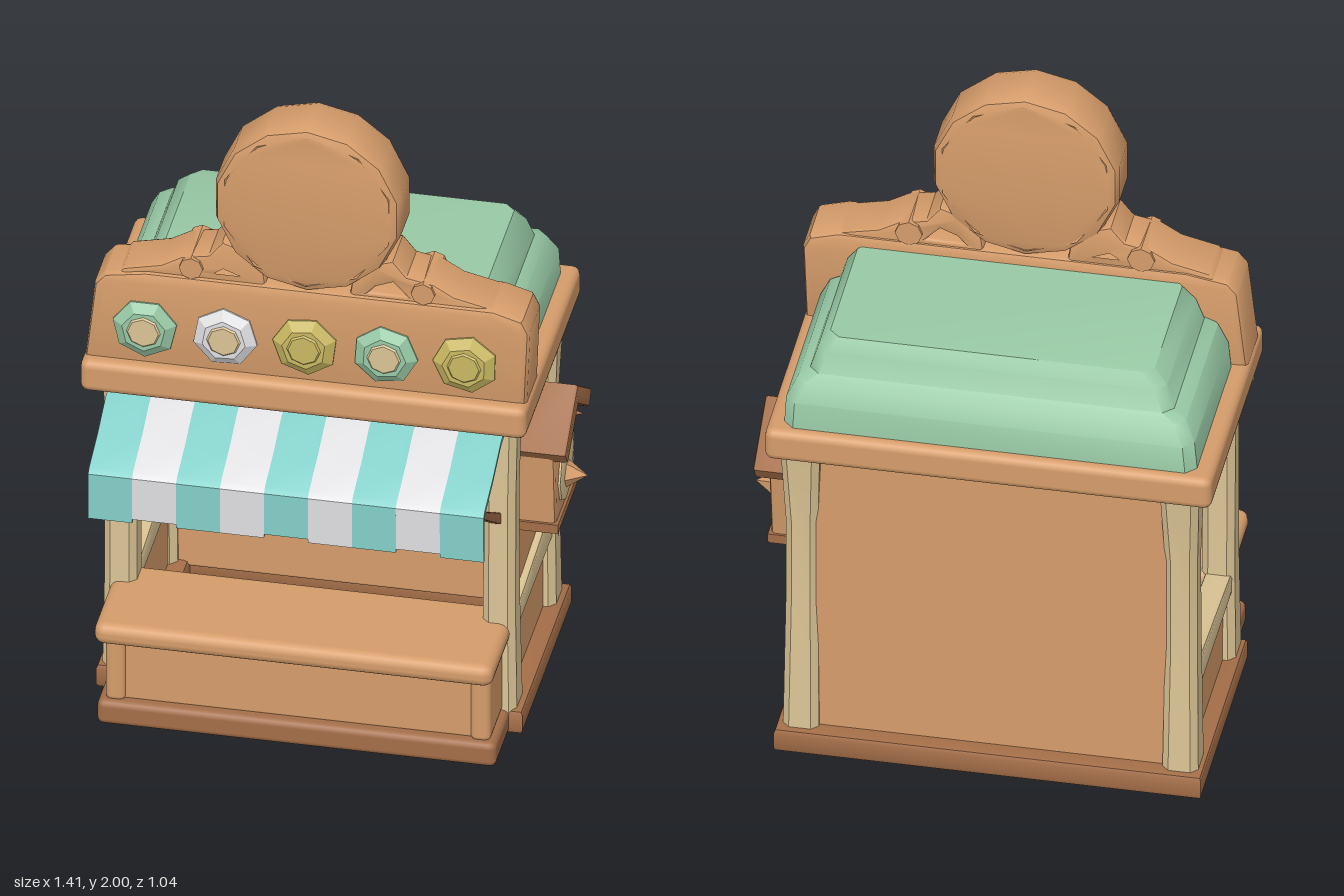
import * as THREE from 'three';
import { toCreasedNormals } from 'three/addons/utils/BufferGeometryUtils.js';
import { RoundedBoxGeometry } from 'three/addons/geometries/RoundedBoxGeometry.js';

const mat = (name, color) => Object.assign(new THREE.MeshStandardMaterial({ color }), { name });

export function createModel() {
  const model = new THREE.Group();
  model.name = 'marketStall';
  const wood = mat('wood', 0xd59c6a), darkWood = mat('darkWood', 0xa46e48), cream = mat('cream', 0xdbc495);
  const green = mat('roofGreen', 0x98c9a5), teal = mat('teal', 0x85d0ca), white = mat('white', 0xe0e0e2);
  const gold = mat('gold', 0xc9b862), brown = mat('featureBrown', 0x8a5a3a);

  const add = (name, geo, material) => {
    const m = new THREE.Mesh(geo, material);
    m.name = name;
    model.add(m);
    return m;
  };
  // Rounded board between two corners
  const board = (name, m, x0, x1, y0, y1, z0, z1, r = 0.02) => {
    const g = new RoundedBoxGeometry(x1 - x0, y1 - y0, z1 - z0, 2, r);
    g.translate((x0 + x1) / 2, (y0 + y1) / 2, (z0 + z1) / 2);
    return add(name, g, m);
  };
  const path = (pts) => pts.map(([x, y]) => new THREE.Vector2(x, y));
  // Bevelled slab of an outline, running from 0 to d in z
  const slab = (pts, d, b = 0, hole = null) => {
    const s = new THREE.Shape(path(pts));
    if (hole) s.holes.push(new THREE.Path(path(hole)));
    const g = new THREE.ExtrudeGeometry(s, {
      depth: d - 2 * b, bevelEnabled: b > 0, bevelSize: b, bevelThickness: b, bevelOffset: -b, bevelSegments: 2,
    });
    g.translate(0, 0, b);
    return toCreasedNormals(g, 0.7);
  };
  const front = (name, m, pts, z0, z1, b, hole) => add(name, slab(pts, z1 - z0, b, hole).translate(0, 0, z0), m);
  // Outline given as (z, y), extruded along x
  const side = (name, m, pts, x0, x1, b) =>
    add(name, slab(pts, x1 - x0, b).rotateY(-Math.PI / 2).translate(x1, 0, 0), m);
  const ngon = (cx, cy, r, n, a = 0) => Array.from({ length: n }, (_, i) => {
    const t = a + i / n * Math.PI * 2;
    return [cx + r * Math.cos(t), cy + r * Math.sin(t)];
  });
  // Stack of chamfered rectangles [y, x0, x1, z0, z1], closed on top
  const loft = (name, m, rings, c) => {
    const pos = [], idx = [], n = 8;
    for (const [y, x0, x1, z0, z1] of rings) {
      pos.push(x1, y, z0 + c, x1, y, z1 - c, x1 - c, y, z1, x0 + c, y, z1,
        x0, y, z1 - c, x0, y, z0 + c, x0 + c, y, z0, x1 - c, y, z0);
    }
    for (let k = 0; k < rings.length - 1; k++) for (let i = 0; i < n; i++) {
      const a = k * n + i, b = k * n + (i + 1) % n;
      idx.push(a, a + n, b + n, a, b + n, b);
    }
    const t = (rings.length - 1) * n;
    for (let i = 1; i < n - 1; i++) idx.push(t, t + i + 1, t + i);
    const g = new THREE.BufferGeometry();
    g.setAttribute('position', new THREE.Float32BufferAttribute(pos, 3));
    g.setIndex(idx);
    return add(name, toCreasedNormals(g, 0.75), m);
  };

  // Base: rear frame open underneath, narrower step under the counter
  const baseHole = [[-0.52, 0.07], [0.46, 0.07], [0.46, 0.40], [-0.52, 0.40]];
  const base = slab([[-0.67, -0.21], [0.58, -0.21], [0.58, 0.49], [-0.67, 0.49]], 0.08, 0.015, baseHole);
  add('baseFrame', base.rotateX(-Math.PI / 2), darkWood);
  board('baseStep', darkWood, -0.63, 0.54, 0, 0.08, 0.12, 0.4);

  // Corner posts, the rear ones flaring at the top
  for (const x of [-0.655, 0.455]) {
    loft('frontPost', cream, [[0.07, x, x + 0.105, 0.09, 0.21], [0.4, x + 0.005, x + 0.1, 0.1, 0.205],
      [0.8, x + 0.005, x + 0.1, 0.11, 0.2], [1.06, x, x + 0.105, 0.1, 0.2]], 0.02);
    loft('rearPost', cream, [[0.07, x, x + 0.105, -0.47, -0.35], [0.5, x + 0.005, x + 0.1, -0.455, -0.355],
      [0.8, x + 0.005, x + 0.1, -0.455, -0.365], [1.06, x - 0.005, x + 0.11, -0.485, -0.36]], 0.02);
  }

  // Walls: closed back and right, half-height left with an open window
  board('backWall', wood, -0.58, 0.49, 0.06, 1.06, -0.44, -0.38, 0.01);
  board('rightWall', wood, 0.48, 0.525, 0.06, 1.06, -0.4, 0.14, 0.01);
  board('leftLowerWall', wood, -0.62, -0.575, 0.06, 0.33, -0.4, 0.14, 0.01);
  const rail = [[0.13, 0.3], [0.13, 0.37], [-0.38, 0.41], [-0.38, 0.3]];
  side('rightRail', cream, rail, 0.47, 0.548, 0.012);
  side('leftRail', cream, rail, -0.643, -0.565, 0.012);

  // Counter
  board('counterFront', wood, -0.59, 0.5, 0.07, 0.32, 0.13, 0.365, 0.015);
  for (const x of [-0.61, 0.46]) board('counterCorner', wood, x, x + 0.06, 0.07, 0.32, 0.13, 0.38);
  board('counterTop', wood, -0.63, 0.54, 0.3, 0.37, 0.1, 0.45, 0.03);

  // Display board with faceted wares on the back wall
  front('displayBoard', wood, [[-0.5, 0.3], [0.27, 0.3], [0.47, 0.77], [0.47, 1.04], [-0.56, 1.04], [-0.56, 0.7]],
    -0.39, -0.36, 0.008);
  const disc = (name, m, x, y, z0, z1, rBack, rFront, n, turn = 0) => {
    const g = new THREE.CylinderGeometry(rFront, rBack, z1 - z0, n);
    g.rotateY(turn).rotateX(Math.PI / 2).translate(x, y, (z0 + z1) / 2);
    return add(name, toCreasedNormals(g, 0.5), m);
  };
  const wares = [[-0.32, 0.7], [-0.08, 0.63], [0.16, 0.71], [-0.33, 0.45], [-0.09, 0.39], [0.15, 0.48],
    [-0.32, 0.94], [-0.08, 0.87], [0.16, 0.94]];
  wares.forEach(([x, y], i) => {
    disc('wareRim', wood, x, y, -0.37, -0.31, 0.11, 0.107, 7, i * 0.37);
    disc('wareFace', cream, x, y, -0.31, -0.295, 0.1, 0.08, 7, i * 0.37);
  });

  // Eaves slab and two-tier roof
  board('eaves', wood, -0.705, 0.603, 1.05, 1.155, -0.52, 0.28, 0.025);
  loft('roof', green, [[1.14, -0.655, 0.555, -0.49, 0.08], [1.24, -0.645, 0.55, -0.485, 0.08],
    [1.30, -0.615, 0.52, -0.455, 0.08], [1.315, -0.575, 0.49, -0.43, 0.08], [1.38, -0.55, 0.47, -0.41, 0.08],
    [1.42, -0.51, 0.44, -0.385, 0.08]], 0.03);

  // Sign board with a recessed panel
  front('signFrame', wood, [[-0.7, 1.13], [0.595, 1.13], [0.605, 1.39], [0.585, 1.43], [0.5, 1.455], [-0.52, 1.455],
    [-0.64, 1.435], [-0.67, 1.4]], 0.06, 0.24, 0.02, [[-0.61, 1.16], [0.52, 1.16], [0.52, 1.385], [-0.6, 1.385]]);
  board('signPanel', wood, -0.64, 0.55, 1.14, 1.42, 0.07, 0.195, 0.01);
  [green, white, gold, green, gold].forEach((m, i) => {
    const x = -0.52 + i * 0.235;
    disc('badge', m, x, 1.27, 0.18, 0.245, 0.098, 0.096, 7, i * 0.5);
    disc('badgeBevel', m, x, 1.27, 0.245, 0.265, 0.096, 0.065, 7, i * 0.5);
    disc('badgeCentre', m === gold ? gold : cream, x, 1.27, 0.265, 0.27, 0.05, 0.045, 8);
  });

  // Round topper with a small face, held by scroll brackets
  const cx = -0.047, cy = 1.725;
  front('topperRing', wood, ngon(cx, cy, 0.278, 14, Math.PI / 2), 0.06, 0.24, 0.03, ngon(cx, cy, 0.222, 10, 0.3));
  disc('topperBack', wood, cx, cy, 0.09, 0.15, 0.235, 0.235, 14);
  disc('topperFace', cream, cx, cy, 0.15, 0.212, 0.235, 0.235, 14);
  for (const x of [-0.15, 0.055]) disc('eye', brown, x, 1.733, 0.211, 0.217, 0.02, 0.018, 6);
  board('nose', brown, -0.051, -0.041, 1.735, 1.84, 0.211, 0.217, 0.002);
  board('mouth', brown, -0.062, -0.032, 1.686, 1.692, 0.211, 0.217, 0.002);
  for (const s of [-1, 1]) {
    const flip = (pts) => pts.map(([x, y]) => [cx + s * x, y]);
    front('scrollBracket', wood, flip([[0.56, 1.43], [0.54, 1.455], [0.43, 1.48], [0.37, 1.515], [0.29, 1.53],
      [0.25, 1.58], [0.19, 1.56], [0.13, 1.5], [0.12, 1.43]]), 0.07, 0.225, 0.012,
    flip([[0.29, 1.465], [0.25, 1.505], [0.2, 1.485], [0.18, 1.465]]));
    disc('scrollKnob', wood, cx + s * 0.34, 1.485, 0.06, 0.235, 0.04, 0.035, 8);
  }

  // Striped awning: sloped sheet with hanging valance
  for (let i = 0; i < 9; i++) {
    const w = 1.16 / 9, x = -0.63 + i * w, low = 0.778 + 0.012 * (i % 3 === 1 ? 1 : 0);
    side('awningStripe', i % 2 ? white : teal, [[0.19, 1.05], [0.27, 1.035], [0.38, 0.985], [0.5, 0.945], [0.517, 0.93],
      [0.515, low], [0.503, low], [0.503, 0.925], [0.38, 0.97], [0.27, 1.02], [0.19, 1.03]], x, x + w, 0);
  }
  for (const x of [-0.6, 0.5]) {
    side('awningStrut', darkWood, [[0.5, 0.94], [0.49, 0.91], [0.19, 0.7], [0.19, 0.74]], x - 0.015, x + 0.015, 0.004);
  }

  // Little house clock on the right wall
  side('clockBody', wood, [[0, 0.58], [0.025, 0.84], [-0.13, 0.95], [-0.285, 0.84], [-0.25, 0.58]], 0.515, 0.635, 0.015);
  side('clockRoof', darkWood, [[0.05, 0.865], [-0.13, 0.995], [-0.32, 0.865], [-0.29, 0.82], [-0.13, 0.93], [0.015, 0.82]],
    0.515, 0.675, 0.01);
  side('clockFace', cream, ngon(-0.13, 0.71, 0.1, 9), 0.63, 0.642, 0.003);
  side('clockBase', darkWood, [[0.01, 0.57], [0.01, 0.6], [-0.26, 0.6], [-0.26, 0.57]], 0.515, 0.645, 0.008);
  const spike = (name, m, r, h, x, y, rz) => {
    const g = new THREE.ConeGeometry(r, h, 5);
    g.rotateZ(rz).translate(x, y, -0.13);
    add(name, toCreasedNormals(g, 0.3), m);
  };
  spike('clockBeak', wood, 0.045, 0.065, 0.67, 0.69, -Math.PI / 2);
  spike('pendulum', darkWood, 0.022, 0.12, 0.615, 0.53, Math.PI);
  spike('gablePeg', darkWood, 0.025, 0.06, 0.66, 0.9, -Math.PI / 2);

  return model;
}
